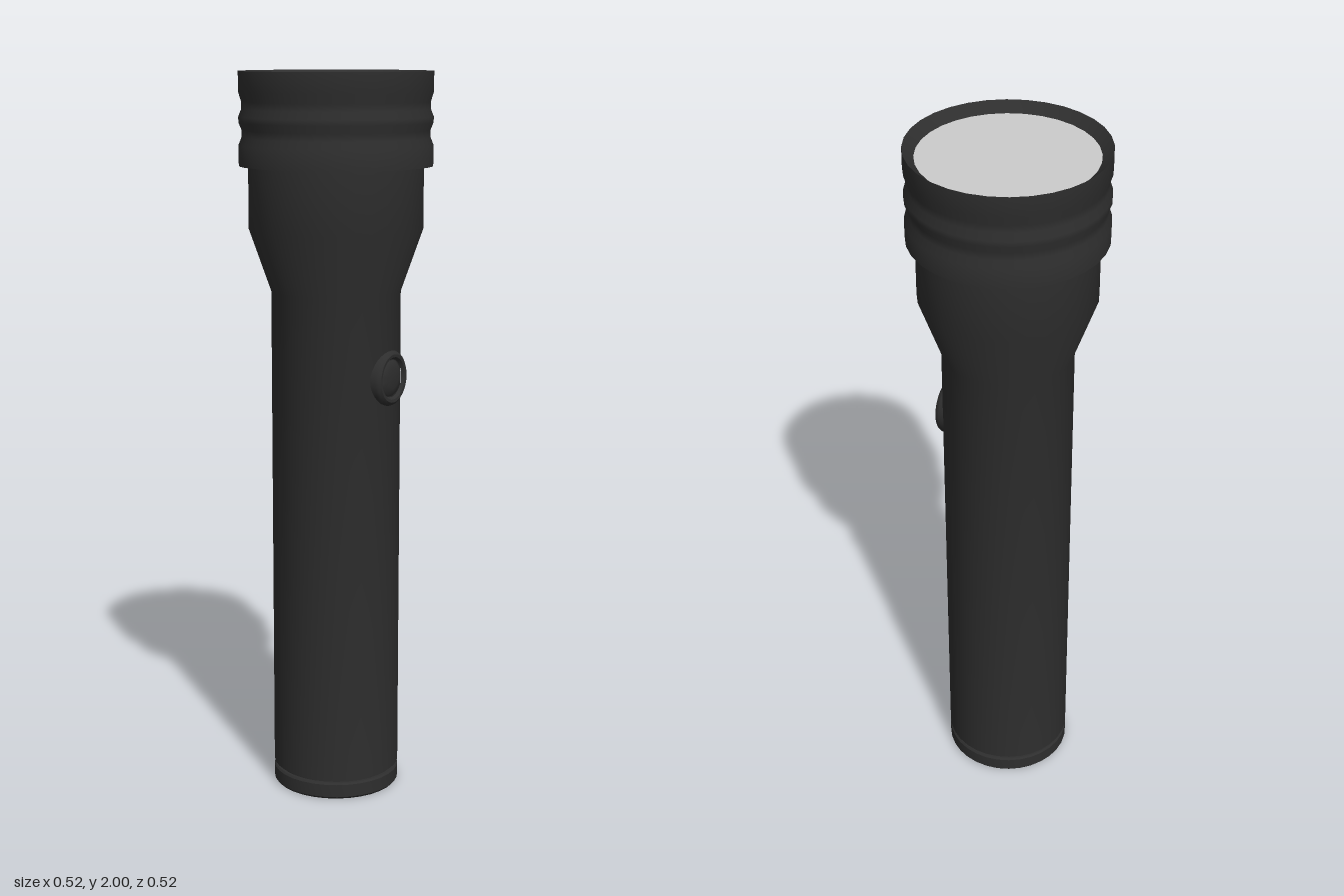
import * as THREE from 'three';
import { toCreasedNormals } from 'three/addons/utils/BufferGeometryUtils.js';

const black = new THREE.MeshStandardMaterial({ color: 0x2e2e2e });
const grey = new THREE.MeshStandardMaterial({ color: 0xcccccc });

// Turned part from [radius, height] pairs, listed bottom to top
function turned(name, profile, material = black, sides = 32) {
  const points = profile.map(([r, y]) => new THREE.Vector2(r, y));
  const geometry = toCreasedNormals(new THREE.LatheGeometry(points, sides), 0.6);
  const mesh = new THREE.Mesh(geometry, material);
  mesh.name = name;
  return mesh;
}

export function createModel() {
  const model = new THREE.Group();
  model.name = 'flashlight';

  // Tail cap with a narrow groove above it
  model.add(turned('tailCap', [
    [0, 0], [0.172, 0], [0.177, 0.006], [0.177, 0.042], [0.173, 0.047], [0.165, 0.047], [0.165, 0.058],
  ]));

  // Barrel flaring into the neck
  model.add(turned('barrel', [
    [0.165, 0.057], [0.177, 0.057], [0.177, 1.41], [0.237, 1.58], [0.237, 1.76],
  ]));

  // Ribbed head with a bevelled inner rim
  model.add(turned('head', [
    [0.237, 1.75], [0.262, 1.75], [0.262, 1.805], [0.254, 1.825], [0.254, 1.845],
    [0.262, 1.865], [0.262, 1.88], [0.254, 1.9], [0.254, 1.92], [0.262, 1.945],
    [0.262, 2], [0.233, 1.975],
  ]));

  // Lens disc
  model.add(turned('lens', [[0.234, 1.975], [0, 1.975]], grey));

  // Switch on the model's left side
  const powerSwitch = new THREE.Group();
  powerSwitch.name = 'powerSwitch';
  powerSwitch.add(
    turned('switchRing', [
      [0.077, 0.145], [0.077, 0.173], [0.073, 0.182], [0.066, 0.187], [0.058, 0.186], [0.052, 0.178],
    ]),
    turned('switchButton', [[0.052, 0.174], [0.046, 0.18], [0.028, 0.184], [0, 0.185]]),
  );
  powerSwitch.rotation.z = -Math.PI / 2;
  powerSwitch.position.y = 1.185;
  model.add(powerSwitch);

  return model;
}
